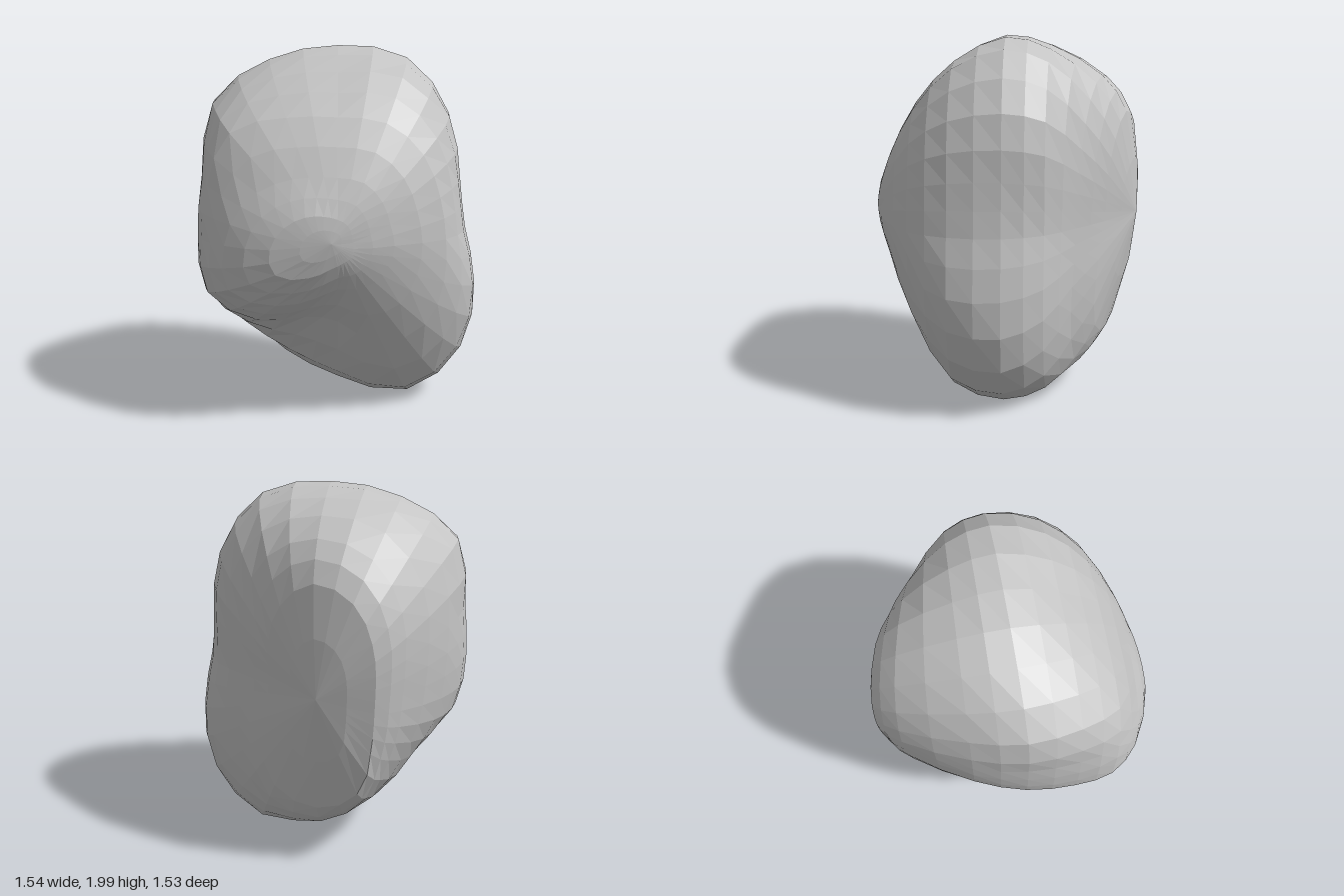
import * as THREE from 'three';

const SEGMENTS = 32;
const CENTRE_Y = 1;

// Cross-sections from front to back: z, tilt of z along x and y, then radii at 16 even angles from +x
const sections = [
  { z: 0.735, tx: -0.08, r: [0.08, 0.08, 0.1, 0.13, 0.15, 0.18, 0.23, 0.29, 0.34, 0.34, 0.21, 0.12, 0.09, 0.08, 0.08, 0.08] },
  { z: 0.66, r: [0.29, 0.29, 0.32, 0.35, 0.35, 0.38, 0.45, 0.53, 0.58, 0.61, 0.45, 0.3, 0.23, 0.25, 0.27, 0.28] },
  { z: 0.5, r: [0.57, 0.58, 0.63, 0.66, 0.64, 0.69, 0.79, 0.74, 0.72, 0.75, 0.62, 0.46, 0.45, 0.61, 0.66, 0.61] },
  { z: 0.28, r: [0.69, 0.71, 0.82, 0.9, 0.86, 0.9, 0.93, 0.8, 0.765, 0.78, 0.73, 0.73, 0.81, 0.98, 0.94, 0.81] },
  { z: 0, r: [0.71, 0.735, 0.885, 1.01, 1, 1, 0.985, 0.8, 0.75, 0.755, 0.72, 0.81, 0.92, 1.07, 1.01, 0.83] },
  { z: -0.25, tx: 0.05, r: [0.62, 0.67, 0.82, 0.94, 0.945, 0.955, 0.87, 0.72, 0.655, 0.66, 0.68, 0.78, 0.88, 1, 0.88, 0.72] },
  { z: -0.5, tx: 0.25, ty: -0.04, r: [0.44, 0.48, 0.59, 0.72, 0.78, 0.75, 0.62, 0.5, 0.45, 0.47, 0.54, 0.68, 0.82, 0.84, 0.65, 0.5] },
  { z: -0.63, tx: 0.33, ty: -0.07, r: [0.26, 0.28, 0.36, 0.48, 0.58, 0.54, 0.43, 0.35, 0.32, 0.34, 0.42, 0.59, 0.68, 0.65, 0.45, 0.31] },
];
const frontTip = new THREE.Vector3(-0.03, CENTRE_Y + 0.03, 0.758);
const backTip = new THREE.Vector3(-0.02, CENTRE_Y, -0.745);

// Smooth closed interpolation of the radii
function radiusAt(r, t) {
  const n = r.length, i = Math.floor(t), f = t - i;
  const [a, b, c, d] = [-1, 0, 1, 2].map((k) => r[(i + k + n) % n]);
  return b + 0.5 * f * (c - a + f * (2 * a - 5 * b + 4 * c - d + f * (3 * (b - c) + d - a)));
}

// Curve from tip to tip through every cross-section at one angle, with a point added in each gap
function meridian(j) {
  const angle = (j / SEGMENTS) * Math.PI * 2;
  const points = sections.map(({ z, tx = 0, ty = 0, r }) => {
    const radius = radiusAt(r, (j / SEGMENTS) * r.length);
    const x = Math.cos(angle) * radius, y = Math.sin(angle) * radius;
    return new THREE.Vector3(x, CENTRE_Y + y, z + tx * x + ty * y);
  });
  const curve = new THREE.CatmullRomCurve3([frontTip, ...points, backTip]);
  return curve.getPoints(2 * (sections.length + 1));
}

function rockGeometry() {
  const lines = Array.from({ length: SEGMENTS }, (_, j) => meridian(j));
  const last = lines[0].length - 1;
  const corners = [];
  lines.forEach((line, j) => {
    const next = lines[(j + 1) % SEGMENTS];
    // Fans at the tips, bands in between
    corners.push(frontTip, line[1], next[1]);
    for (let i = 1; i < last - 1; i++) {
      corners.push(line[i], line[i + 1], next[i], next[i], line[i + 1], next[i + 1]);
    }
    corners.push(backTip, next[last - 1], line[last - 1]);
  });
  // Unshared corners give each facet its own flat normal
  const geometry = new THREE.BufferGeometry().setFromPoints(corners);
  geometry.computeVertexNormals();
  return geometry;
}

export function createModel() {
  const stone = new THREE.MeshStandardMaterial({ color: 0xc4c4c4 });
  stone.name = 'stone grey';
  const rock = new THREE.Mesh(rockGeometry(), stone);
  rock.name = 'rock';
  const group = new THREE.Group();
  group.name = 'boulder';
  group.add(rock);
  return group;
}
